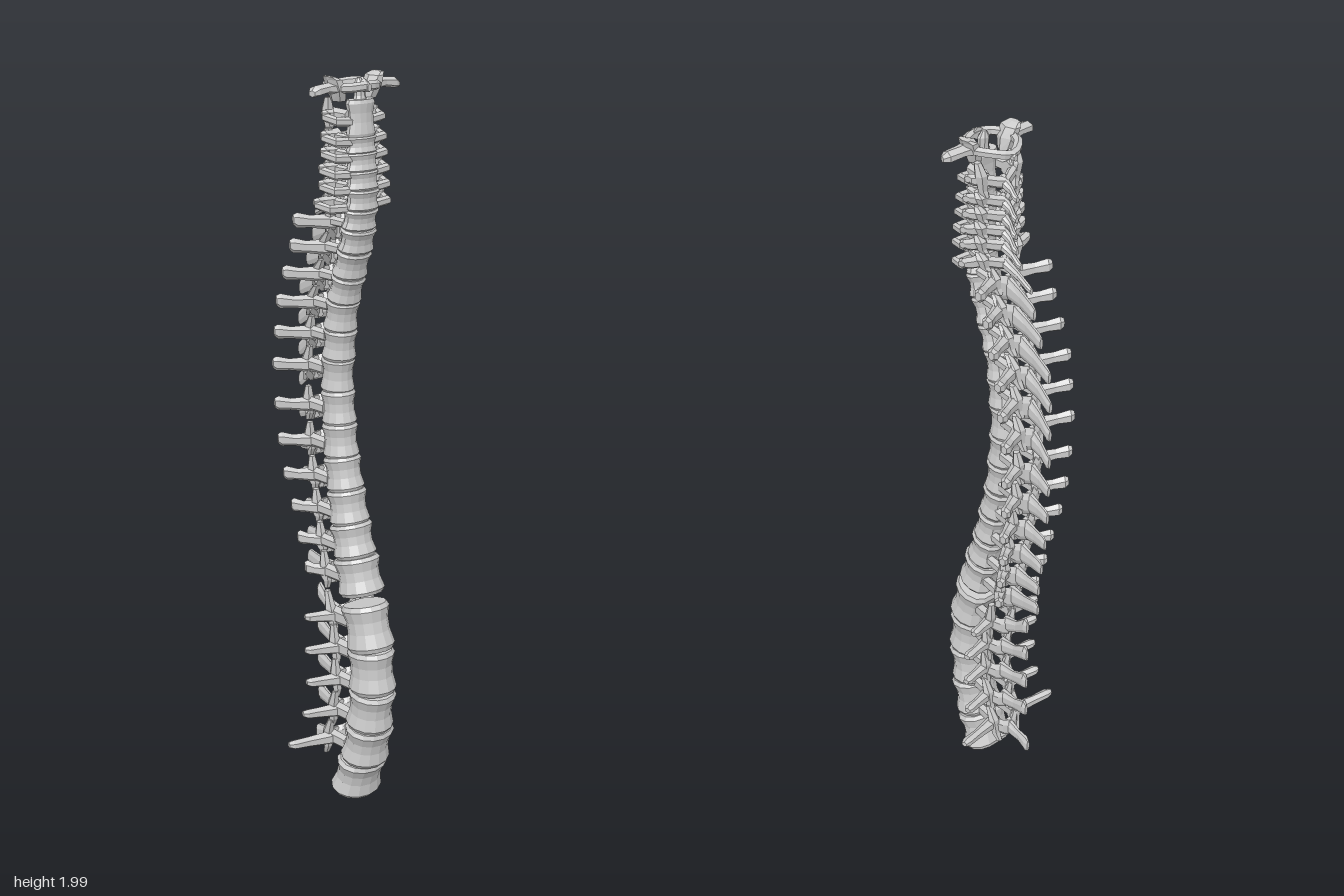
import * as THREE from 'three';

const material = new THREE.MeshStandardMaterial({ color: 0xcccccc, flatShading: true, side: THREE.DoubleSide });
const V = (x, y, z) => new THREE.Vector3(x, y, z);
const UP = V(0, 1, 0);

// Closed solid through a series of rings with equal point counts
function loft(rings) {
  const n = rings[0].length, pos = [], idx = [];
  rings.flat().forEach(p => pos.push(p.x, p.y, p.z));
  for (let i = 0; i < rings.length - 1; i++) {
    for (let j = 0; j < n; j++) {
      const a = i * n + j, b = i * n + (j + 1) % n;
      idx.push(a, b, b + n, a, b + n, a + n);
    }
  }
  const last = (rings.length - 1) * n;
  for (let j = 1; j < n - 1; j++) idx.push(0, j + 1, j, last, last + j, last + j + 1);
  const g = new THREE.BufferGeometry();
  g.setAttribute('position', new THREE.Float32BufferAttribute(pos, 3));
  g.setIndex(idx);
  g.computeVertexNormals();
  return g;
}

function ring(c, u, v, n) {
  return Array.from({ length: n }, (_, j) => {
    const a = (j + 0.5) / n * Math.PI * 2;
    return c.clone().addScaledVector(u, Math.cos(a)).addScaledVector(v, Math.sin(a));
  });
}

function add(parent, name, geometry) {
  const mesh = new THREE.Mesh(geometry, material);
  mesh.name = name;
  parent.add(mesh);
  return mesh;
}

// Bony arm along stations [x, y, z, halfWidth, halfHeight], cut vertically
function beam(stations, n = 6) {
  const p = stations.map(s => V(s[0], s[1], s[2]));
  return loft(stations.map((s, i) => {
    const d = p[Math.min(i + 1, p.length - 1)].clone().sub(p[Math.max(i - 1, 0)]);
    const side = UP.clone().cross(d).normalize();
    return ring(p[i], side.multiplyScalar(s[3]), V(0, s[4], 0), n);
  }));
}

// Upright knob along stations [x, y, z, halfX, halfZ]
const column = (stations, n = 6) =>
  loft(stations.map(s => ring(V(s[0], s[1], s[2]), V(0, 0, s[4]), V(s[3], 0, 0), n)));

// Column profile: y, front z, back z, half width
const profile = [
  [0, 0.11, -0.01, 0.072], [0.08, 0.13, 0.015, 0.076], [0.18, 0.165, 0.045, 0.07],
  [0.35, 0.193, 0.062, 0.062], [0.5, 0.183, 0.048, 0.062], [0.65, 0.137, 0.008, 0.062],
  [0.8, 0.085, -0.022, 0.056], [1, 0.04, -0.058, 0.047], [1.2, 0.02, -0.07, 0.043],
  [1.4, 0.035, -0.045, 0.047], [1.6, 0.093, 0.025, 0.052], [1.7, 0.106, 0.045, 0.048],
  [1.85, 0.095, 0.042, 0.044], [1.95, 0.09, 0.04, 0.038]
];
function at(y) {
  let i = 0;
  while (i < profile.length - 2 && profile[i + 1][0] < y) i++;
  const a = profile[i], b = profile[i + 1];
  const t = THREE.MathUtils.clamp((y - a[0]) / (b[0] - a[0]), 0, 1);
  const [front, back, half] = [1, 2, 3].map(k => a[k] + (b[k] - a[k]) * t);
  return { front, back, half, mid: (front + back) / 2 };
}

// Levels, lowest first: body bottom y, transverse y, transverse reach, spine tip y, spine tip z
const levels = [
  [0.02, 0.16, 0.168, 0.115, -0.12], [0.13, 0.255, 0.135, 0.25, -0.11],
  [0.24, 0.355, 0.13, 0.355, -0.11], [0.35, 0.45, 0.13, 0.46, -0.112],
  [0.47, 0.54, 0.118, 0.56, -0.112], [0.62, 0.66, 0.075, 0.65, -0.153],
  [0.72, 0.745, 0.085, 0.72, -0.155], [0.81, 0.835, 0.092, 0.8, -0.165],
  [0.9, 0.925, 0.105, 0.89, -0.177], [0.99, 1.02, 0.112, 0.98, -0.184],
  [1.08, 1.12, 0.117, 1.07, -0.187], [1.17, 1.23, 0.12, 1.16, -0.187],
  [1.26, 1.32, 0.122, 1.245, -0.188], [1.34, 1.405, 0.122, 1.33, -0.188],
  [1.42, 1.485, 0.12, 1.415, -0.182], [1.49, 1.56, 0.115, 1.5, -0.15],
  [1.56, 1.63, 0.12, 1.57, -0.125], [1.62, 1.685, 0.11, 1.63, -0.112],
  [1.67, 1.73, 0.1, 1.68, -0.075], [1.72, 1.77, 0.098, 1.715, -0.06],
  [1.765, 1.81, 0.092, 1.755, -0.056], [1.81, 1.85, 0.09, 1.8, -0.058],
  [1.85, 1.9, 0.085, 1.855, -0.06]
];

// Waisted body with a flattened back
function bodyGeometry(h, w, d) {
  const rows = [[-0.5, 0.93], [-0.4, 1.03], [-0.1, 0.9], [0.15, 0.9], [0.4, 1.03], [0.5, 0.93]];
  return loft(rows.map(([t, s]) => Array.from({ length: 14 }, (_, j) => {
    const a = j / 14 * Math.PI * 2, c = Math.cos(a);
    return V(Math.sin(a) * w * s, t * h, Math.max(c, -0.82) * d * s);
  })));
}

function vertebra(i) {
  const [y0, ty, reach, tipY, tipZ] = levels[i];
  const y1 = i === 4 ? 0.595 : i < 22 ? levels[i + 1][0] : 1.94;
  const lumbar = i < 5, neck = i > 16, yc = (y0 + y1) / 2, h = y1 - y0;
  const c = at(yc), zb = at((yc + ty) / 2).back, g = new THREE.Group();
  g.name = (lumbar ? 'lumbar' : neck ? 'cervical' : 'thoracic') + 'Vertebra';

  // Body tilted to follow the curve
  const body = add(g, 'body', bodyGeometry(h * 1.03, c.half, (c.front - c.back) / 2));
  body.position.set(0, yc, c.mid);
  body.rotation.x = Math.atan2(at(yc + 0.05).mid - at(yc - 0.05).mid, 0.1);

  const px = neck ? 0.046 : 0.034, arch = zb - (neck ? 0.03 : 0.038);
  const rootZ = zb - (lumbar ? 0.07 : neck ? 0.058 : 0.06);
  const tall = neck ? 0.016 : lumbar ? 0.028 : 0.034;
  const tz = zb - (lumbar ? 0.055 : neck ? 0.015 : 0.076);
  const rootY = ty - (neck ? 0.012 : 0.02);

  for (const s of [-1, 1]) {
    add(g, 'pedicle', beam([
      [s * px * 0.85, ty, zb + 0.025, 0.012, h * 0.2], [s * px, ty, arch - 0.008, 0.014, h * 0.22]]));
    add(g, 'lamina', beam([
      [s * (px + 0.01), ty, arch, 0.012, tall * 0.85],
      [s * 0.02, rootY, rootZ + 0.012, 0.011, tall], [0, rootY - 0.005, rootZ, 0.008, tall]]));
    // Side arm with a blunt, slightly flared end
    const mz = arch + (tz - arch) * 0.55, flare = lumbar || neck ? 0.013 : 0.02;
    add(g, 'transverseArm', beam([
      [s * px * 0.7, ty - 0.004, arch + 0.006, 0.02, 0.022],
      [s * (px + (reach - px) * 0.55), ty, mz, 0.013, 0.016],
      [s * reach * 0.92, ty + 0.004, tz, 0.015, flare],
      [s * reach, ty + 0.006, tz - 0.004, 0.009, flare * 0.65]]));
    // Facets overlap those of the neighbouring levels
    const fz = arch - 0.004, fx = s * (neck ? 0.056 : lumbar ? 0.042 : 0.034);
    const next = at(ty + h * 0.5).back - at(ty).back, f = neck ? 0.5 : 0.55;
    add(g, 'articularFacet', column([
      [fx * 0.82, ty - h * f, fz - next - 0.008, 0.009, 0.007],
      [fx * 0.9, ty - h * 0.3, fz - next * 0.6, 0.014, 0.012],
      [fx, ty + h * 0.15, fz, 0.017, 0.016],
      [fx * 1.08, ty + h * f, fz + next + 0.008, 0.01, 0.008]]));
    // Anterior bar enclosing the neck's side opening
    if (neck) add(g, 'anteriorBar', beam([
      [s * 0.03, ty - 0.012, c.mid, 0.012, 0.012],
      [s * reach * 0.85, ty - 0.008, c.mid - 0.004, 0.01, 0.012],
      [s * reach * 0.95, ty, tz, 0.01, 0.011]]));
  }
  // Rear blade, sloping down to a vertical tip
  const k = neck ? 0.5 : 0.45;
  add(g, 'spinousBlade', beam([
    [0, rootY, rootZ + 0.012, 0.016, tall],
    [0, rootY + (tipY - rootY) * k, rootZ + (tipZ - rootZ) * k, 0.008, tall * 0.75],
    [0, tipY + 0.004, tipZ + 0.01, lumbar ? 0.011 : 0.008, lumbar ? 0.027 : tall * 0.65],
    [0, tipY, tipZ, 0.005, lumbar ? 0.02 : tall * 0.5]], 8));
  return g;
}

// Top ring vertebra with side masses and broad wings
function atlas() {
  const g = new THREE.Group();
  g.name = 'atlas';
  const path = new THREE.CatmullRomCurve3([
    V(0, 1.975, 0.09), V(0.045, 1.972, 0.075), V(0.06, 1.97, 0.035), V(0.045, 1.972, -0.01),
    V(0, 1.965, -0.038), V(-0.045, 1.972, -0.01), V(-0.06, 1.97, 0.035), V(-0.045, 1.972, 0.075)
  ], true);
  add(g, 'arch', new THREE.TubeGeometry(path, 20, 0.012, 6, true));
  add(g, 'anteriorTubercle', beam([[0, 1.976, 0.08, 0.016, 0.017], [0, 1.972, 0.102, 0.007, 0.01]]));
  add(g, 'posteriorTubercle', beam([[0, 1.965, -0.03, 0.018, 0.012], [0, 1.96, -0.053, 0.007, 0.008]]));
  for (const s of [-1, 1]) {
    add(g, 'lateralMass', column([
      [s * 0.048, 1.938, 0.04, 0.018, 0.02], [s * 0.056, 1.968, 0.042, 0.021, 0.03],
      [s * 0.066, 1.992, 0.04, 0.017, 0.03], [s * 0.078, 2, 0.04, 0.008, 0.02]]));
    add(g, 'wing', beam([
      [s * 0.05, 1.97, 0.042, 0.028, 0.018], [s * 0.09, 1.972, 0.042, 0.022, 0.012],
      [s * 0.125, 1.968, 0.046, 0.02, 0.014], [s * 0.137, 1.964, 0.05, 0.01, 0.008]]));
  }
  return g;
}

export function createModel() {
  const model = new THREE.Group();
  model.name = 'spine';
  levels.forEach((_, i) => model.add(vertebra(i)));
  model.add(atlas());
  // Upright peg the top ring turns on
  add(model, 'dens', column([
    [0, 1.92, 0.066, 0.026, 0.02], [0, 1.95, 0.064, 0.015, 0.013],
    [0, 1.975, 0.062, 0.016, 0.013], [0, 1.992, 0.06, 0.006, 0.006]], 8));
  return model;
}
